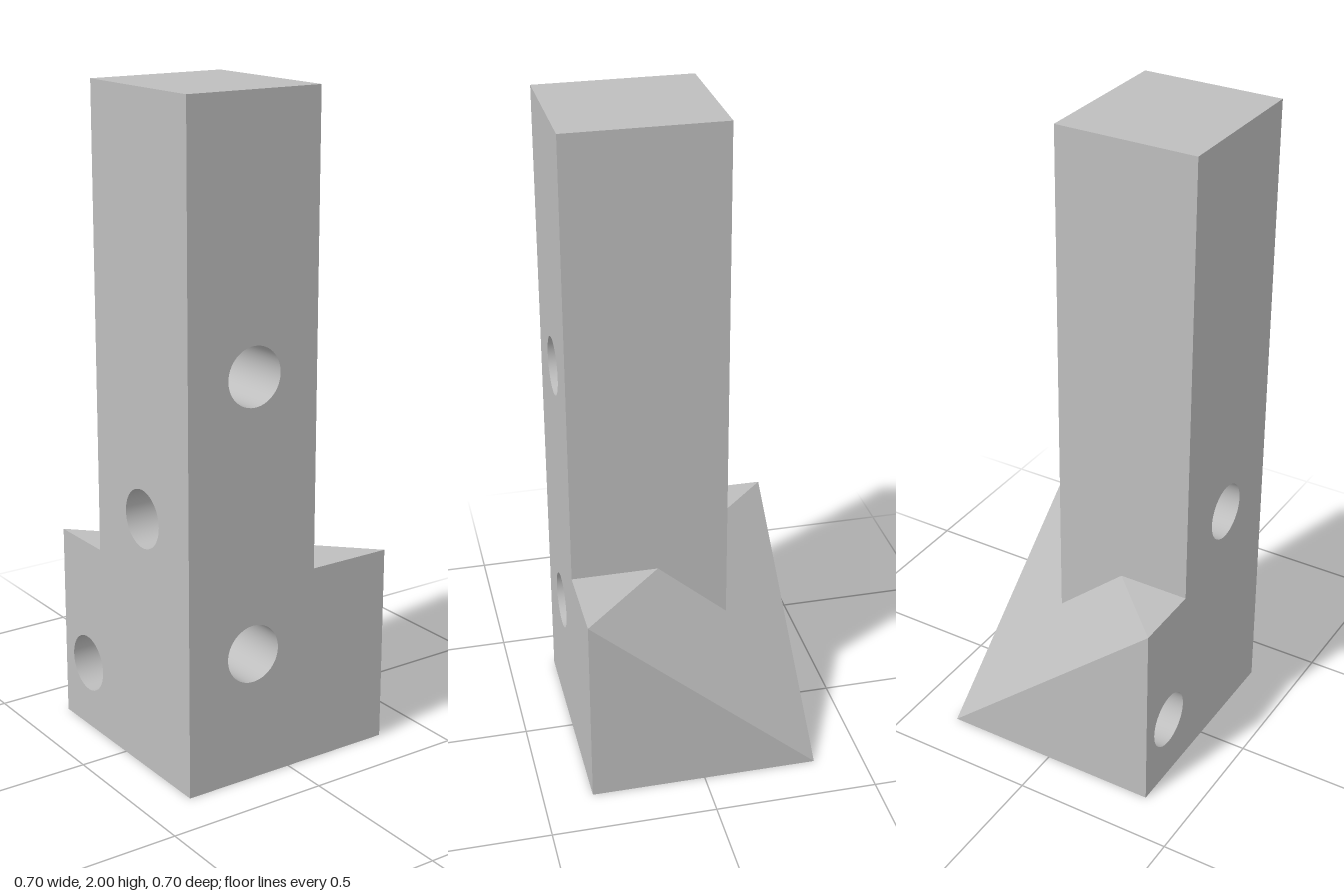
import * as THREE from 'three';
import { toCreasedNormals } from 'three/addons/utils/BufferGeometryUtils.js';

const W = 0.35;               // half width of the foot
const H = 0.61;               // foot height
const TOP = 2;                // post height
const PX = 0.085, PZ = -0.13; // inner corner of the post
const NOTCH = H - (PX - PZ) * H / (2 * W); // where the post corner meets the slope
const R = 0.088, DEPTH = 0.25; // blind holes

export function createModel() {
  const model = new THREE.Group();
  const grey = new THREE.MeshStandardMaterial({ color: 0xbebebe });
  grey.name = 'grey';

  function add(name, geometry) {
    const mesh = new THREE.Mesh(geometry, grey);
    mesh.name = name;
    model.add(mesh);
  }

  // Flat face from corners listed counter-clockwise from outside, with round blind holes
  function face(name, corners, holes = []) {
    const p = corners.map((c) => new THREE.Vector3(...c));
    const u = p[1].clone().sub(p[0]).normalize();
    const n = new THREE.Vector3();
    p.forEach((a, i) => n.add(a.clone().cross(p[(i + 1) % p.length])));
    n.normalize();
    const v = n.clone().cross(u);
    const flat = (q) => {
      const d = q.clone().sub(p[0]);
      return new THREE.Vector2(d.dot(u), d.dot(v));
    };

    const shape = new THREE.Shape(p.map(flat));
    for (const h of holes) {
      const centre = new THREE.Vector3(...h);
      const c = flat(centre);
      shape.holes.push(new THREE.Path().absarc(c.x, c.y, R, 0, Math.PI * 2, true));

      // Hole wall and floor
      const profile = [[R, 0], [R, -DEPTH], [0, -DEPTH]].map((q) => new THREE.Vector2(...q));
      const recess = toCreasedNormals(new THREE.LatheGeometry(profile, 48), 0.6);
      recess.applyMatrix4(new THREE.Matrix4().makeBasis(u, n, u.clone().cross(n)).setPosition(centre));
      add(name + 'Hole', recess);
    }
    const geometry = new THREE.ShapeGeometry(shape, 24);
    geometry.applyMatrix4(new THREE.Matrix4().makeBasis(u, v, n).setPosition(p[0]));
    add(name, geometry);
  }

  // Outer sides shared by post and foot
  face('front',
    [[-W, 0, W], [W, 0, W], [W, H, W], [PX, H, W], [PX, TOP, W], [-W, TOP, W]],
    [[-0.13, 1.22, W], [-0.13, 0.395, W]]);
  face('rightSide',
    [[-W, 0, -W], [-W, 0, W], [-W, TOP, W], [-W, TOP, PZ], [-W, H, PZ], [-W, H, -W]],
    [[-W, 0.78, 0.11], [-W, 0.21, -0.216]]);
  face('bottom',
    [[-W, 0, -W], [W, 0, -W], [W, 0, W], [-W, 0, W]],
    [[0.136, 0, -0.136]]);

  // Foot
  face('footLeftSide', [[W, 0, W], [W, 0, -W], [W, H, W]]);
  face('footBack', [[W, 0, -W], [-W, 0, -W], [-W, H, -W]]);
  face('footBackLedge', [[-W, H, -W], [-W, H, PZ], [PZ, H, PZ]]);
  face('footLeftLedge', [[PX, H, PX], [PX, H, W], [W, H, W]]);
  face('footSlope',
    [[W, H, W], [W, 0, -W], [-W, H, -W], [PZ, H, PZ], [PX, NOTCH, PZ], [PX, H, PX]]);

  // Post
  face('postTop', [[-W, TOP, W], [PX, TOP, W], [PX, TOP, PZ], [-W, TOP, PZ]]);
  face('postBack',
    [[PX, NOTCH, PZ], [PZ, H, PZ], [-W, H, PZ], [-W, TOP, PZ], [PX, TOP, PZ]]);
  face('postLeftSide',
    [[PX, H, W], [PX, H, PX], [PX, NOTCH, PZ], [PX, TOP, PZ], [PX, TOP, W]]);

  return model;
}
